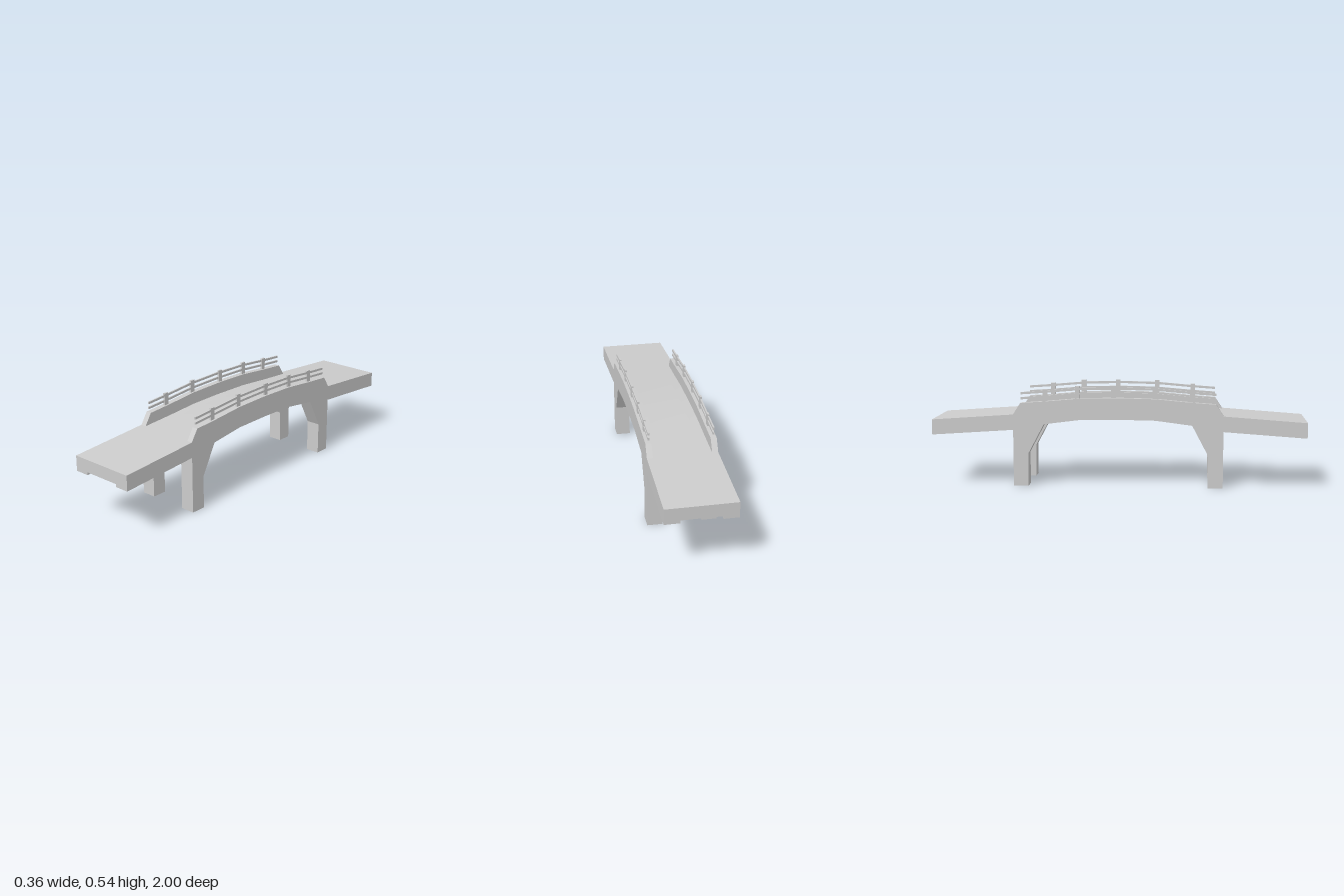
import * as THREE from 'three';
import { toCreasedNormals } from 'three/addons/utils/BufferGeometryUtils.js';

const HALF = 0.181;    // half width of the bridge
const LEG_IN = 0.103;  // inner side of legs and edge beams
const WALL_IN = 0.15;  // inner side of the parapets

// Half profiles as [z, y], from the end towards the middle
const deckTop = [[1, 0.355], [0.56, 0.386], [0.39, 0.396], [0.2, 0.41], [0, 0.413]];
const deckBottom = [[1, 0.288], [0.56, 0.318], [0.395, 0.349], [0.2, 0.375], [0, 0.378]];
const beamBottom = [[1, 0.273], [0.56, 0.303], [0.56, 0], [0.48, 0], [0.48, 0.175],
  [0.395, 0.335], [0.2, 0.36], [0, 0.363]];
const wallTop = [[0.56, 0.386], [0.52, 0.448], [0.39, 0.457], [0.2, 0.474], [0, 0.478]];
const lowerRail = [[0.52, 0.472], [0.39, 0.481], [0.2, 0.497], [0, 0.501]];

// Mirror a half profile about z = 0
const full = (half) => [...half, ...half.slice(0, -1).reverse().map(([z, y]) => [-z, y])];
const raise = (pts, d) => pts.map(([z, y]) => [z, y + d]);

// Solid between two half profiles, spanning x0..x1
function slab(name, top, bottom, x0, x1, material) {
  const outline = [...full(top), ...full(bottom).reverse()]
    .filter(([z, y], i, a) => i === 0 || z !== a[i - 1][0] || y !== a[i - 1][1]);
  const shape = new THREE.Shape(outline.map(([z, y]) => new THREE.Vector2(z, y)));
  let geometry = new THREE.ExtrudeGeometry(shape, { depth: x1 - x0, bevelEnabled: false });
  geometry.rotateY(-Math.PI / 2).translate(x1, 0, 0);
  geometry = toCreasedNormals(geometry, 0.2);
  const mesh = new THREE.Mesh(geometry, material);
  mesh.name = name;
  return mesh;
}

export function createModel() {
  const bridge = new THREE.Group();
  bridge.name = 'bridge';
  const grey = new THREE.MeshStandardMaterial({ color: 0xcccccc });

  // Roadway between the edge beams
  bridge.add(slab('deck', deckTop, deckBottom, -LEG_IN, LEG_IN, grey));

  for (const [label, s] of [['left', 1], ['right', -1]]) {
    const side = new THREE.Group();
    side.name = label + 'Side';
    const add = (name, top, bottom, a, b) =>
      side.add(slab(name, top, bottom, Math.min(s * a, s * b), Math.max(s * a, s * b), grey));

    // Arched edge beam with its two legs
    add('edgeBeamAndLegs', deckTop, beamBottom, LEG_IN, HALF);
    // Parapet with sloping ends
    add('parapet', wallTop, deckTop.slice(1), WALL_IN, HALF);
    // Two rails following the arch
    for (const [name, lift] of [['lowerRail', 0], ['upperRail', 0.027]]) {
      const middle = raise(lowerRail, lift);
      add(name, raise(middle, 0.006), raise(middle, -0.006), 0.161, 0.169);
    }
    // Railing posts
    for (const [z, top] of [[0.395, 0.521], [0.197, 0.54], [-0.022, 0.541], [-0.215, 0.539], [-0.388, 0.521]]) {
      const post = new THREE.Mesh(new THREE.BoxGeometry(0.011, 0.085, 0.026), grey);
      post.position.set(s * 0.165, top - 0.0425, z);
      post.name = 'railingPost';
      side.add(post);
    }
    bridge.add(side);
  }
  return bridge;
}
